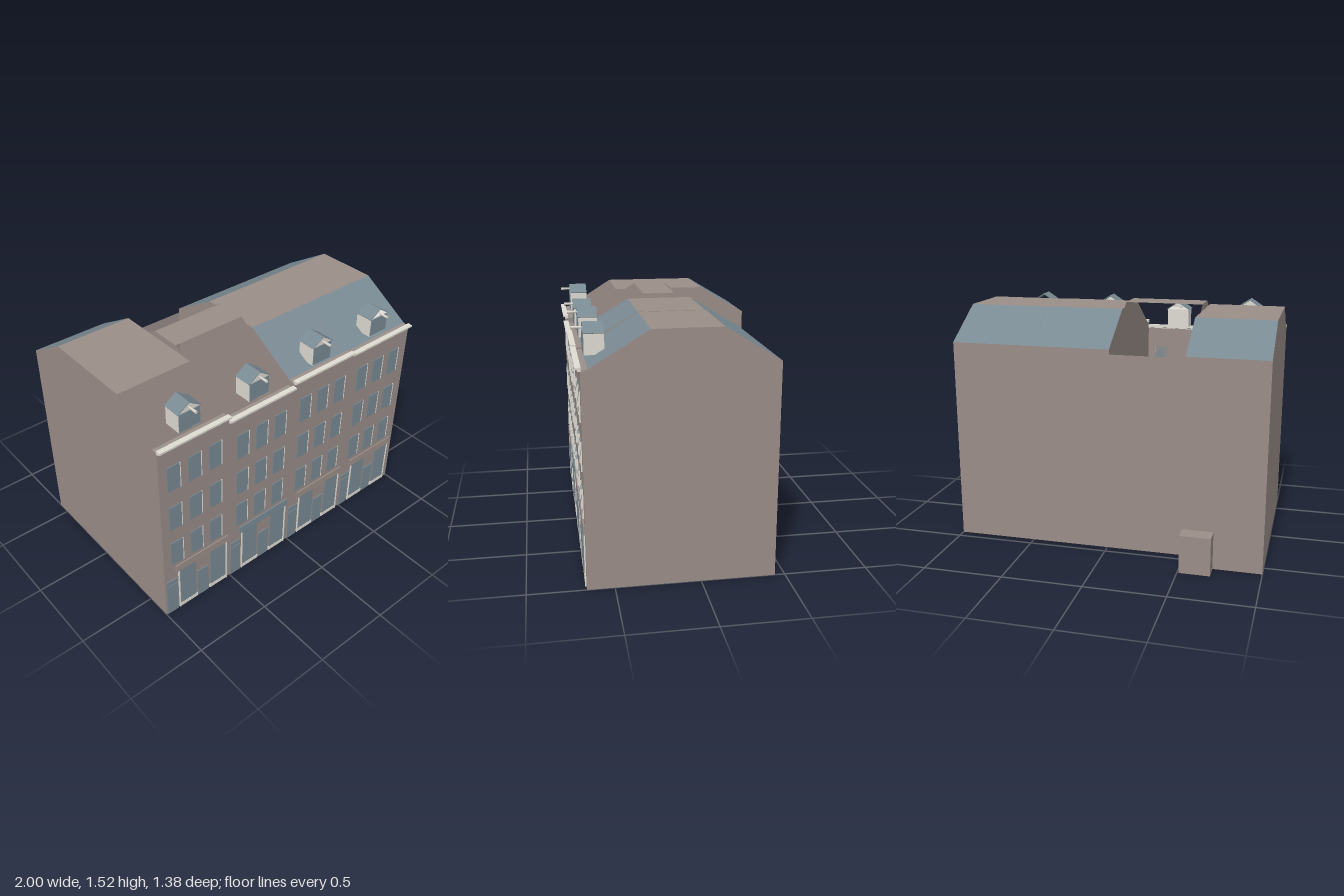
import * as THREE from 'three';

const mat = (name, color) => {
  const m = new THREE.MeshStandardMaterial({ color, side: THREE.DoubleSide });
  m.name = name;
  return m;
};

export function createModel() {
  const root = new THREE.Group();
  const wall = mat('wall brown', 0x9a8d88);
  const slate = mat('slate blue', 0x7a8a93);
  const trim = mat('trim off-white', 0xdedbd2);
  const FRONT = 0.66;

  const add = (parent, name, geo, material) => {
    const m = new THREE.Mesh(geo, material);
    m.name = name;
    parent.add(m);
    return m;
  };
  // box given by its limits
  const box = (parent, name, material, x0, x1, y0, y1, z0, z1) => {
    const m = add(parent, name, new THREE.BoxGeometry(x1 - x0, y1 - y0, z1 - z0), material);
    m.position.set((x0 + x1) / 2, (y0 + y1) / 2, (z0 + z1) / 2);
    return m;
  };
  // strip spanning x0..x1 between two [z, y] points
  const strip = (parent, name, material, x0, x1, p, q) => {
    const g = new THREE.BufferGeometry();
    const c = [[x0, p], [x1, p], [x1, q], [x0, q]].map(([x, [z, y]]) => [x, y, z]);
    g.setAttribute('position', new THREE.Float32BufferAttribute(c.flat(), 3));
    g.setIndex([0, 1, 2, 0, 2, 3]);
    g.computeVertexNormals();
    return add(parent, name, g, material);
  };
  // side wall cut to a [z, y] profile, facing +x or -x
  const gable = (parent, name, profile, x, side) => {
    const s = new THREE.Shape(profile.map(([z, y]) => new THREE.Vector2(-side * z, y)));
    const g = new THREE.ShapeGeometry(s).rotateY(side * Math.PI / 2).translate(x, 0, 0);
    return add(parent, name, g, wall);
  };

  // houses: limits, eaves, ridge, which slopes are covered, window rows
  const houses = [
    { x0: -1, x1: -0.51, eave: 1.285, top: 1.48, rf: 0.32, rb: -0.285, back: -0.587, be: 1.3,
      frontRoof: false, backRoof: true, rows: [0.405, 0.685, 0.98], dormer: 1.32, shop: -1, band: wall },
    { x0: -0.51, x1: -0.017, eave: 1.25, top: 1.52, rf: 0.19, rb: -0.01, back: -0.44, be: 1.26,
      frontRoof: false, backRoof: false, rows: [0.405, 0.665, 0.945], dormer: 1.29, shop: -0.505, band: slate },
    { x0: -0.017, x1: 0.475, eave: 1.285, top: 1.49, rf: 0.29, rb: -0.113, back: -0.44, be: 1.29,
      frontRoof: true, backRoof: true, rows: [0.405, 0.685, 0.97], dormer: 1.32, shop: -0.01, band: wall },
    { x0: 0.475, x1: 1, eave: 1.275, top: 1.488, rf: 0.285, rb: -0.118, back: -0.44, be: 1.29,
      frontRoof: true, backRoof: true, rows: [0.405, 0.685, 0.97], dormer: 1.32, shop: 0.485, band: wall, openGable: true },
  ];

  houses.forEach((h, i) => {
    const house = new THREE.Group();
    house.name = 'house' + (i + 1);
    root.add(house);
    const { x0, x1 } = h;

    // shell: strips round the cross-section, then both gables
    const profile = [[FRONT, 0], [FRONT, h.eave], [0.62, h.eave + 0.008], [h.rf, h.top],
      [h.rb, h.top], [h.back, h.be], [h.back, 0]];
    const parts = [['frontWall', wall], ['eave', wall], ['frontRoof', h.frontRoof && slate],
      ['roofTop', wall], ['backRoof', h.backRoof && slate], ['backWall', wall], ['floor', wall]];
    parts.forEach(([name, m], k) => {
      if (m) strip(house, name, m, x0, x1, profile[k], profile[(k + 1) % 7]);
    });
    gable(house, 'leftGable', profile, x1, 1);
    gable(house, 'rightGable', profile, x0, -1);

    // cornice in two steps
    box(house, 'cornice', trim, x0, x1, h.eave + 0.008, h.eave + 0.02, 0.655, 0.688);
    box(house, 'corniceMoulding', trim, x0, x1, h.eave - 0.003, h.eave + 0.008, 0.655, 0.675);

    // upper windows
    const cx = -0.755 + i * 0.4955;
    for (const y of h.rows) {
      for (const dx of [-0.146, 0, 0.146]) {
        const x = cx + dx;
        box(house, 'window', slate, x - 0.043, x + 0.043, y, y + 0.175, FRONT, FRONT + 0.005);
        box(house, 'windowJamb', trim, x + 0.043, x + 0.047, y, y + 0.175, FRONT, FRONT + 0.008);
      }
    }

    // shop front
    const shop = new THREE.Group();
    shop.name = 'shopFront';
    shop.position.x = h.shop;
    house.add(shop);
    const pane = (name, a, b, c, d) => box(shop, name, slate, a, b, c, d, FRONT, FRONT + 0.006);
    pane('houseDoor', 0.012, 0.09, 0, 0.235);
    pane('doorTransom', 0.012, 0.09, 0.24, 0.275);
    pane('shopDoor', 0.243, 0.328, 0, 0.217);
    for (const a of [0.112, 0.345]) {
      pane('shopWindow', a, a + 0.118, 0.03, 0.32);
      box(shop, 'shopSill', trim, a - 0.01, a + 0.128, 0.002, 0.028, FRONT, FRONT + 0.007);
    }
    for (const a of [0.1, 0.468]) box(shop, 'pilaster', trim, a, a + 0.007, 0, 0.32, FRONT, FRONT + 0.008);
    const band = box(shop, 'shopFascia', h.band, 0.083, 0.485, 0.325, 0.375, FRONT, FRONT + 0.009);
    band.rotation.x = -0.03;

    // dormer: front, cheeks, pitched roof and hoist beam
    const dormer = new THREE.Group();
    dormer.name = 'dormer';
    dormer.position.set(cx, h.dormer, 0);
    house.add(dormer);
    const zf = 0.63, zb = 0.513, w = 0.073, e = 0.118, peak = 0.168;
    box(dormer, 'dormerBody', trim, -w, w, -0.005, e, zb, zf - 0.004);
    box(dormer, 'dormerWindow', slate, -w + 0.002, w - 0.002, 0, e - 0.003, zf - 0.004, zf);
    if (!h.openGable) {
      const tri = new THREE.Shape([[-w, e], [w, e], [0, peak - 0.003]].map(p => new THREE.Vector2(...p)));
      add(dormer, 'dormerGable', new THREE.ShapeGeometry(tri), trim).position.z = zf - 0.003;
    }
    for (const s of [-1, 1]) {
      const half = 0.079, rise = peak - e + 0.002;
      const roof = add(dormer, 'dormerRoof',
        new THREE.BoxGeometry(Math.hypot(half, rise), 0.004, zf - zb), slate);
      roof.position.set(s * half / 2, peak - rise / 2, (zf + zb) / 2);
      roof.rotation.z = -s * Math.atan2(rise, half);
    }
    const beam = add(dormer, 'hoistBeam', new THREE.CylinderGeometry(0.01, 0.006, 0.062, 6), trim);
    beam.rotation.x = Math.PI / 2;
    beam.position.set(0, 0.137, 0.658);
  });

  // low annex behind the first house
  box(root, 'annex', wall, -0.7, -0.51, 0, 0.24, -0.69, -0.587);
  return root;
}
